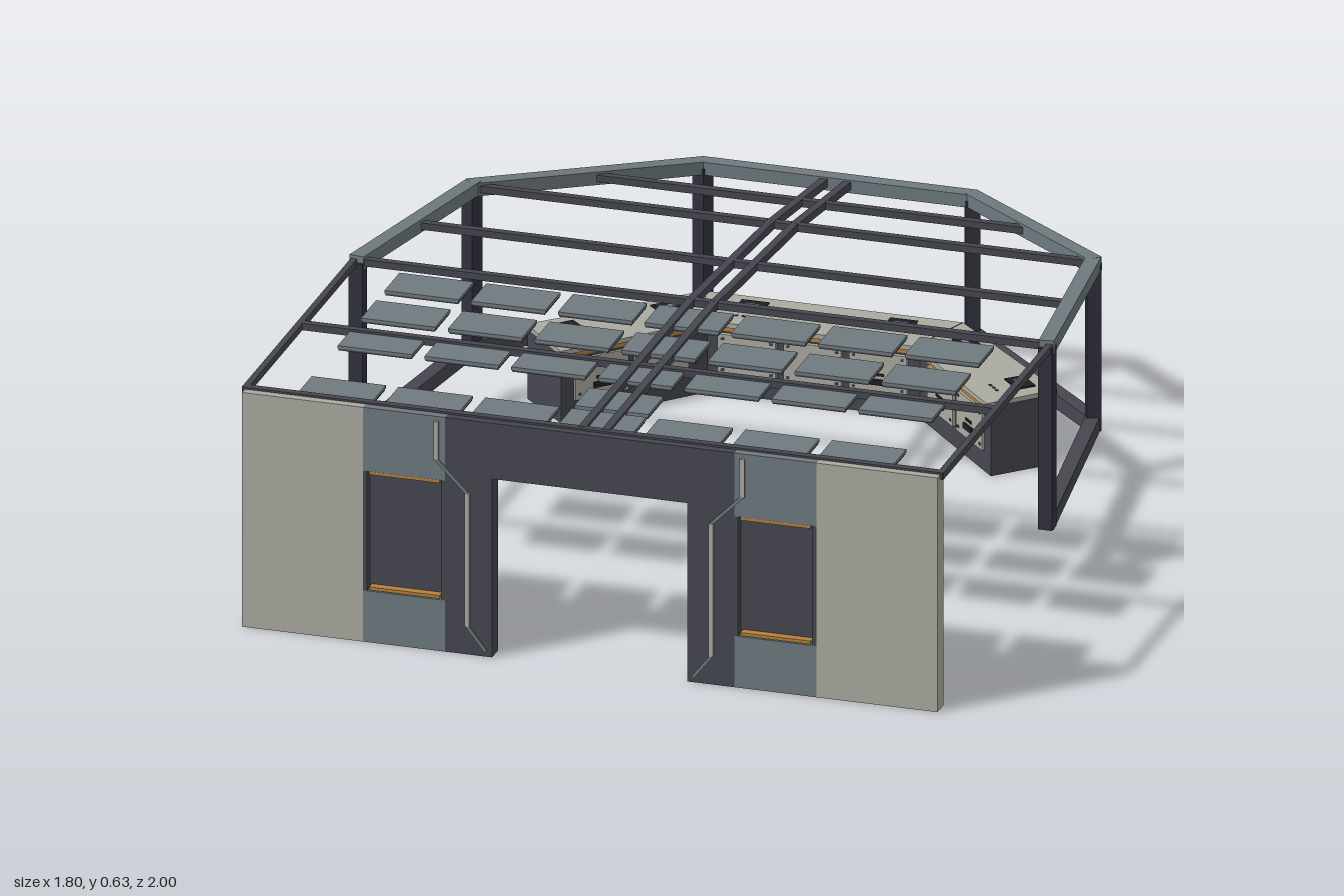
import * as THREE from 'three';

const mat = (name, color, side = THREE.FrontSide) => {
  const m = new THREE.MeshStandardMaterial({ color, side });
  m.name = name;
  return m;
};

export function createModel() {
  const root = new THREE.Group();
  root.name = 'controlRoom';
  const light = mat('warm grey', 0xaaaaa0);
  const slate = mat('slate', 0x6e797e);
  const dark = mat('charcoal', 0x464650);
  const navy = mat('dark navy', 0x30313d);
  const black = mat('black', 0x1e1f26);
  const amber = mat('amber', 0xb5803c);

  const group = (name, parent = root) => {
    const g = new THREE.Group();
    g.name = name;
    parent.add(g);
    return g;
  };
  // box given by its minimum and maximum corners
  const box = (parent, name, m, x0, x1, y0, y1, z0, z1) => {
    const b = new THREE.Mesh(new THREE.BoxGeometry(x1 - x0, y1 - y0, z1 - z0), m);
    b.position.set((x0 + x1) / 2, (y0 + y1) / 2, (z0 + z1) / 2);
    b.name = name;
    parent.add(b);
    return b;
  };
  // straight bar between two points
  const beam = (parent, name, m, a, b, w, h, extra = 0) => {
    const p = new THREE.Vector3(...a), q = new THREE.Vector3(...b);
    const bar = new THREE.Mesh(new THREE.BoxGeometry(w, h, p.distanceTo(q) + extra), m);
    bar.position.copy(p).lerp(q, 0.5);
    bar.lookAt(q);
    bar.name = name;
    parent.add(bar);
  };
  // flat slab from a plan outline of [x, z] points
  const slab = (parent, name, m, pts, y0, y1) => {
    const s = new THREE.Shape(pts.map(([x, z]) => new THREE.Vector2(x, -z)));
    const g = new THREE.ExtrudeGeometry(s, { depth: y1 - y0, bevelEnabled: false });
    g.rotateX(-Math.PI / 2).translate(0, y0, 0);
    const mesh = new THREE.Mesh(g, m);
    mesh.name = name;
    parent.add(mesh);
  };
  const mirrored = half => [...half, ...half.map(([x, z]) => [-x, z]).reverse()];

  // Front wall with doorway
  const wall = group('frontWall');
  const z0 = 0.945, z1 = 0.994;
  box(wall, 'header', dark, -0.37, 0.37, 0.47, 0.617, z0, z1);
  for (const s of [-1, 1]) {
    const part = (name, m, a, b, y0, y1, zb = z0, zf = z1) =>
      box(wall, name, m, Math.min(s * a, s * b), Math.max(s * a, s * b), y0, y1, zb, zf);
    part('outerPanel', light, 0.58, 0.89, 0, 0.617);
    part('doorJamb', dark, 0.25, 0.37, 0, 0.47);
    part('lowerPanel', slate, 0.37, 0.58, 0, 0.135);
    part('upperPanel', slate, 0.37, 0.58, 0.45, 0.617);
    part('windowPane', dark, 0.37, 0.58, 0.135, 0.45, z0, 0.97);
    for (const x of [0.37, 0.57]) part('windowSide', dark, x, x + 0.01, 0.135, 0.45, 0.97, z1);
    for (const y of [0.137, 0.441]) part('windowTrim', amber, 0.385, 0.565, y, y + 0.008, 0.968, 0.992);
    // bent trim rail beside the doorway
    const path = [[0.392, 0.605], [0.392, 0.505], [0.312, 0.425], [0.312, 0.075], [0.265, 0.015]];
    for (let i = 0; i < 4; i++) {
      const [a, b] = [path[i], path[i + 1]];
      const straight = i % 2 === 0;
      beam(wall, 'trimRail', straight ? light : slate,
        [s * a[0], a[1], 0.994], [s * b[0], b[1], 0.994], 0.012, straight ? 0.015 : 0.008);
    }
  }

  // Window frame: sloping upper ring, level lower ring, posts
  const frame = group('windowFrame');
  const ring = [[0.882, 0.1], [0.795, -0.535], [0.345, -0.972]];
  const slopeY = z => z > 0.1 ? 0.613
    : z > -0.535 ? 0.57 + (z + 0.535) * 0.068 : 0.513 + (z + 0.972) * 0.13;
  const loop = mirrored(ring);
  loop.forEach(([x, z], i) => {
    const top = slopeY(z);
    const post = new THREE.Mesh(new THREE.BoxGeometry(0.036, top - 0.135, 0.036), navy);
    post.position.set(x, (top + 0.135) / 2, z);
    post.rotation.y = [0, 0.45, 0.4, -0.4, -0.45, 0][i];
    post.name = 'framePost';
    frame.add(post);
    if (i === loop.length - 1) return;
    const [u, w] = loop[i + 1];
    beam(frame, 'upperRing', slate, [x, top, z], [u, slopeY(w), w], 0.038, 0.034, 0.018);
    beam(frame, 'lowerRing', dark, [x, 0.152, z], [u, 0.152, w], 0.036, 0.038, 0.018);
  });

  // Roof beams
  const roof = group('roofBeams');
  for (const [z, half] of [[-0.76, 0.56], [-0.54, 0.79], [-0.22, 0.835], [0.095, 0.885], [0.53, 0.895], [0.962, 0.895]]) {
    const y = slopeY(z);
    box(roof, 'crossBeam', dark, -half, half, y - 0.009, y + 0.009, z - 0.01, z + 0.01);
  }
  for (const s of [-1, 1]) {
    const zs = [0.96, 0.1, -0.535, -0.965];
    for (let i = 0; i < 3; i++)
      beam(roof, 'ridgeBeam', dark, [s * 0.03, slopeY(zs[i]), zs[i]],
        [s * 0.03, slopeY(zs[i + 1]), zs[i + 1]], 0.02, 0.02);
    box(roof, 'sideRail', dark, s * 0.89 - 0.008, s * 0.89 + 0.008, 0.604, 0.622, 0.1, 0.97);
  }

  // Ceiling tiles, some with lamps beneath
  const ceiling = group('ceilingTiles');
  const tile = (x, z, lamp) => {
    box(ceiling, 'tile', slate, x - 0.095, x + 0.095, 0.608, 0.616, z - 0.06, z + 0.06);
    box(ceiling, 'tileRim', dark, x - 0.093, x + 0.093, 0.603, 0.608, z - 0.058, z + 0.058);
    box(ceiling, lamp ? 'lamp' : 'tileInset', lamp ? amber : slate,
      x - 0.07, x + 0.07, 0.601, 0.604, z - 0.04, z + 0.04);
  };
  for (const z of [0.205, 0.39, 0.575, 0.9])
    for (let i = -3; i <= 3; i++)
      tile(i * 0.222, z, z !== 0.39 && (Math.abs(i) === 2 || (i === 0 && z === 0.9)));
  tile(0, 0.762, false);

  // Control console wrapped around the rear
  const desk = group('console');
  slab(desk, 'consoleBase', dark, mirrored([[0.272, -0.782], [0.55, -0.482], [0.68, -0.605], [0.33, -0.935]]
    .slice(0, 2).reverse()).concat([[-0.675, -0.605], [-0.33, -0.935], [0.33, -0.935], [0.675, -0.605]]), 0, 0.182);
  slab(desk, 'consoleTop', light, mirrored([[0.545, -0.465], [0.265, -0.76]])
    .concat([[-0.68, -0.605], [-0.33, -0.942], [0.33, -0.942], [0.68, -0.605]]), 0.185, 0.197);

  // Drawer fronts and amber edge strip along each inner side
  const drawers = (x, z, angle, count, length) => {
    const g = group('drawerBank', desk);
    g.position.set(x, 0, z);
    g.rotation.y = angle;
    box(g, 'edgeStrip', amber, -length / 2, length / 2, 0.172, 0.185, -0.03, -0.006);
    for (let i = 0; i < count; i++) {
      const c = (i - (count - 1) / 2) * 0.168;
      box(g, 'drawer', light, c - 0.074, c + 0.074, 0.055, 0.162, -0.04, -0.01);
      box(g, 'drawerHandle', black, c - 0.024, c + 0.024, 0.08, 0.094, -0.012, -0.004);
      box(g, 'drawerSlot', black, c - 0.016, c + 0.016, 0.103, 0.109, -0.012, -0.007);
      for (const sx of [-1, 1]) for (const y of [0.066, 0.148])
        box(g, 'drawerStud', dark, c + sx * 0.062 - 0.004, c + sx * 0.062 + 0.004, y, y + 0.006, -0.012, -0.008);
    }
  };
  drawers(0, -0.76, 0, 3, 0.52);
  for (const s of [-1, 1]) drawers(s * 0.405, -0.6125, -s * 0.82, 2, 0.38);

  // Control pads on the desk, with seams between desk sections
  for (const s of [-1, 1]) {
    for (const [x, z, a] of [[0.19, -0.885, 0], [0.383, -0.815, 0.82], [0.582, -0.615, 0.82]]) {
      const g = group('controlPad', desk);
      g.position.set(s * x, 0, z);
      g.rotation.y = -s * a;
      box(g, 'padPlate', black, -0.035, 0.035, 0.196, 0.201, -0.025, 0.025);
      box(g, 'padScreen', slate, -0.018, 0.018, 0.2, 0.203, -0.004, 0.012);
      for (let i = -1; i <= 1; i++)
        box(g, 'button', dark, i * 0.018 - 0.004, i * 0.018 + 0.004, 0.196, 0.199, 0.068, 0.074);
    }
    beam(desk, 'deskSeam', dark, [s * 0.33, 0.197, -0.94], [s * 0.267, 0.197, -0.762], 0.003, 0.002);
  }
  return root;
}
